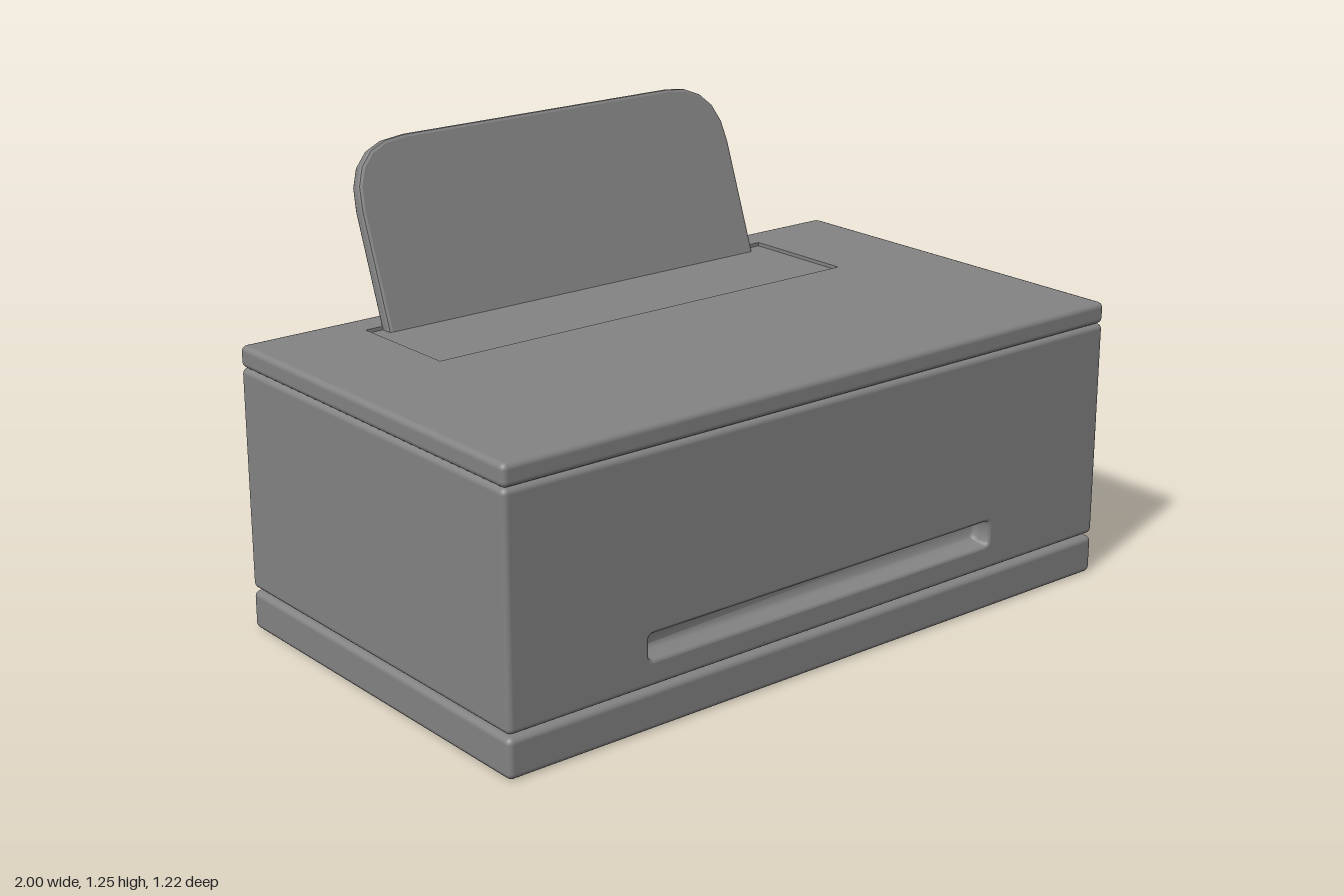
import * as THREE from 'three';
import { RoundedBoxGeometry } from 'three/addons/geometries/RoundedBoxGeometry.js';
import { toCreasedNormals } from 'three/addons/utils/BufferGeometryUtils.js';

const W = 2, FRONT = 0.612, BACK = -0.537;
const D = FRONT - BACK, ZC = (FRONT + BACK) / 2, R = 0.016;
const material = new THREE.MeshStandardMaterial({ color: 0x838383 });
const thin = new THREE.MeshStandardMaterial({ color: 0x838383, side: THREE.DoubleSide });

function part(parent, name, geometry, mat = material) {
  const mesh = new THREE.Mesh(geometry, mat);
  mesh.name = name;
  parent.add(mesh);
  return mesh;
}

// Slab with softened edges between two heights
function slab(y0, y1) {
  return new RoundedBoxGeometry(W, y1 - y0, D, 2, R).translate(0, (y0 + y1) / 2, ZC);
}

// Drop the flat panel of a slab lying in one plane, so a cut panel can replace it
function removePanel(geometry, axis, value) {
  const p = geometry.attributes.position, n = geometry.attributes.normal;
  const pos = [], nor = [];
  for (let i = 0; i < p.count; i += 3) {
    const flat = [0, 1, 2].every(k => Math.abs(p.getComponent(i + k, axis) - value) < 1e-5);
    if (flat) continue;
    for (let k = i; k < i + 3; k++) {
      pos.push(p.getX(k), p.getY(k), p.getZ(k));
      nor.push(n.getX(k), n.getY(k), n.getZ(k));
    }
  }
  const out = new THREE.BufferGeometry();
  out.setAttribute('position', new THREE.Float32BufferAttribute(pos, 3));
  out.setAttribute('normal', new THREE.Float32BufferAttribute(nor, 3));
  return out;
}

function rectPoints(x0, y0, x1, y1) {
  return [[x0, y0], [x1, y0], [x1, y1], [x0, y1]].map(([x, y]) => new THREE.Vector2(x, y));
}

// Rounded rectangle outline centred on (0, cy)
function roundedOutline(hw, hh, r, cy) {
  const pts = [];
  [[1, 1], [-1, 1], [-1, -1], [1, -1]].forEach(([sx, sy], q) => {
    for (let i = 0; i <= 4; i++) {
      const a = (q + i / 4) * Math.PI / 2;
      pts.push(new THREE.Vector2(sx * (hw - r) + r * Math.cos(a), cy + sy * (hh - r) + r * Math.sin(a)));
    }
  });
  return pts;
}

function panelWithHole(outer, hole) {
  const shape = new THREE.Shape(outer);
  shape.holes.push(new THREE.Path(hole));
  return new THREE.ShapeGeometry(shape);
}

// Paper slot: rings stepping inwards with a soft lip and a rounded back
function slotGeometry(hw, hh, cy) {
  const steps = [[0, 0], [0.004, 0.001], [0.008, 0.005], [0.009, 0.035], [0.014, 0.05], [0.022, 0.058]];
  const pos = [], idx = [];
  let n = 0;
  for (const [inset, depth] of steps) {
    const ring = roundedOutline(hw - inset, hh - inset, Math.max(0.022 - inset, 0.006), cy);
    n = ring.length;
    for (const p of ring) pos.push(p.x, p.y, FRONT - depth);
  }
  for (let s = 0; s < steps.length - 1; s++) {
    for (let i = 0; i < n; i++) {
      const a = s * n + i, b = s * n + (i + 1) % n;
      idx.push(a, b, a + n, b, b + n, a + n);
    }
  }
  const last = (steps.length - 1) * n;
  for (let i = 1; i < n - 1; i++) idx.push(last, last + i, last + i + 1);
  const g = new THREE.BufferGeometry();
  g.setAttribute('position', new THREE.Float32BufferAttribute(pos, 3));
  g.setIndex(idx);
  return toCreasedNormals(g, 0.9);
}

export function createModel() {
  const model = new THREE.Group();
  model.name = 'printer';

  // Base plinth, separated from the body by a narrow gap
  part(model, 'base', slab(0, 0.107));

  // Body with an output slot in the front
  const body = new THREE.Group();
  body.name = 'body';
  model.add(body);
  const y0 = 0.115, y1 = 0.725;
  const slotW = 0.591, slotH = 0.043, slotY = 0.22;
  part(body, 'bodyShell', removePanel(slab(y0, y1), 2, FRONT));
  part(body, 'frontPanel', panelWithHole(
    rectPoints(-W / 2 + R, y0 + R, W / 2 - R, y1 - R),
    roundedOutline(slotW, slotH, 0.022, slotY)).translate(0, 0, FRONT));
  part(body, 'outputSlot', slotGeometry(slotW, slotH, slotY), thin);

  // Lid with a shallow feed recess: an open box seen from the inside
  const lid = new THREE.Group();
  lid.name = 'lid';
  model.add(lid);
  const top = 0.785, hw = 0.68, zf = -0.1, zb = -0.44, recess = 0.01;
  part(lid, 'lidShell', removePanel(slab(y1, top), 1, top));
  part(lid, 'lidTop', panelWithHole(
    rectPoints(-W / 2 + R, -FRONT + R, W / 2 - R, -BACK - R),
    rectPoints(-hw, -zf, hw, -zb)).rotateX(-Math.PI / 2).translate(0, top, 0));
  part(lid, 'recessFloor', new THREE.PlaneGeometry(2 * hw, zf - zb)
    .rotateX(-Math.PI / 2).translate(0, top - recess, (zf + zb) / 2));
  for (const s of [-1, 1]) {
    part(lid, 'recessEndWall', new THREE.PlaneGeometry(zf - zb, recess)
      .rotateY(-s * Math.PI / 2).translate(s * hw, top - recess / 2, (zf + zb) / 2));
    part(lid, 'recessLongWall', new THREE.PlaneGeometry(2 * hw, recess)
      .rotateY(s > 0 ? Math.PI : 0).translate(0, top - recess / 2, s > 0 ? zf : zb));
  }

  // Paper support leaning back out of the recess
  const b = 0.01, w = 0.628 - b, h = 0.507 - b, r = 0.17;
  const outline = new THREE.Shape();
  outline.moveTo(-w, 0);
  outline.lineTo(w, 0);
  outline.lineTo(w, h - r);
  outline.quadraticCurveTo(w, h, w - r, h);
  outline.lineTo(-w + r, h);
  outline.quadraticCurveTo(-w, h, -w, h - r);
  const depth = 0.039 - 2 * b;
  const support = part(model, 'paperSupport', toCreasedNormals(new THREE.ExtrudeGeometry(outline, {
    depth, bevelSize: b, bevelThickness: b, bevelSegments: 2, curveSegments: 5,
  }).translate(0, 0, -depth / 2), 0.35));
  support.position.set(0, 0.767, -0.424);
  support.rotation.x = -0.347;

  return model;
}
